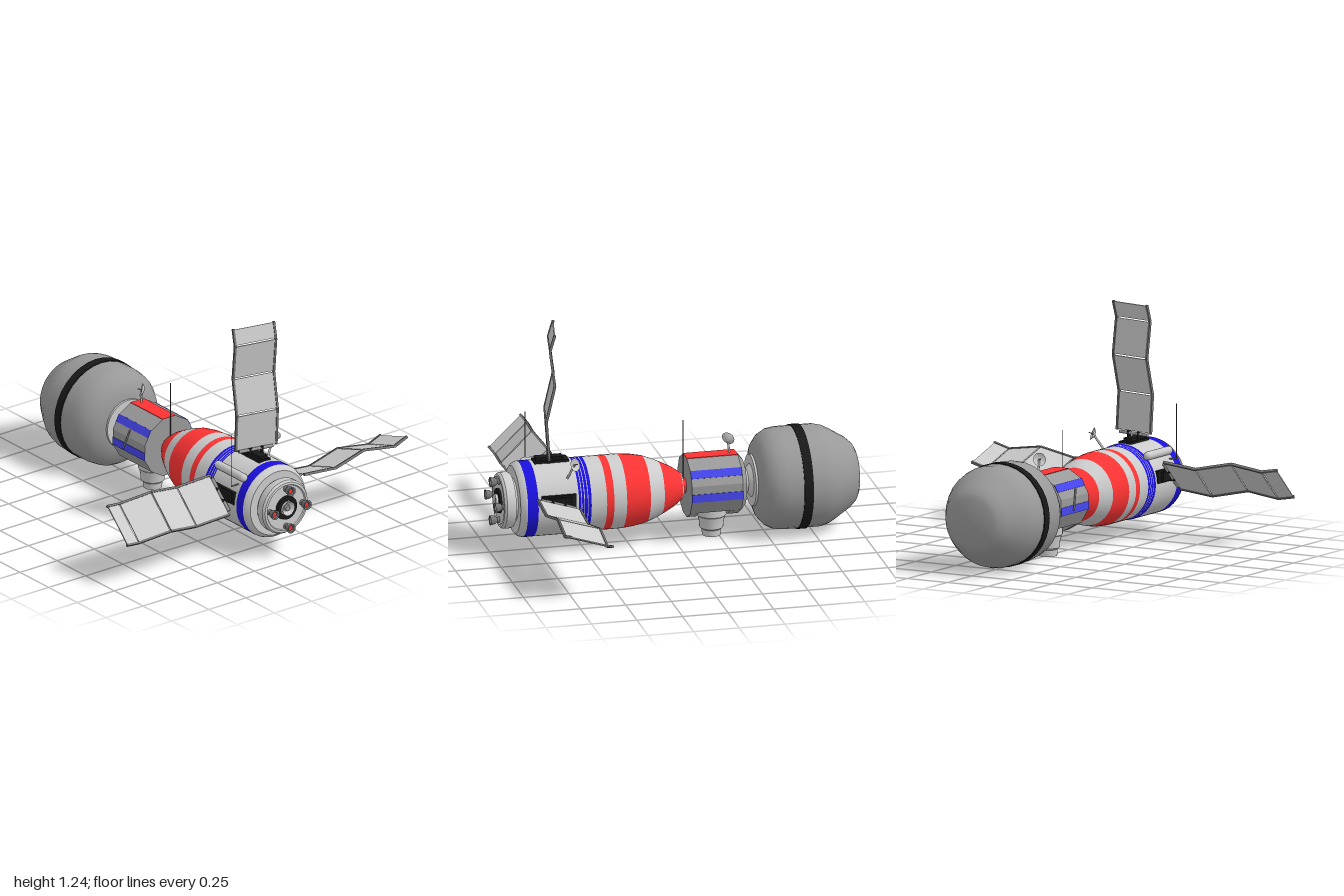
import * as THREE from 'three';
import { toCreasedNormals } from 'three/addons/utils/BufferGeometryUtils.js';

const AXIS = 0.287; // height of the long axis
const GREY = 0xcccccc, DARK = 0x999999, RED = 0xff3333, BLUE = 0x1a10dd, SKY = 0x4646f0, BLACK = 0x181818;
const V = (x, y, z) => new THREE.Vector3(x, y, z);

const materials = {};
const mat = (color) => (materials[color] ??= new THREE.MeshStandardMaterial({ color, side: THREE.DoubleSide }));

function add(parent, name, geo, color = GREY, pos = [0, 0, 0]) {
  const mesh = new THREE.Mesh(geo, mat(color));
  mesh.name = name;
  mesh.position.set(...pos);
  parent.add(mesh);
  return mesh;
}

// Solid of revolution; profile rows are [position along axis, radius]
function lathe(profile, segments = 32, crease = 0.6, phi = 0) {
  const pts = profile.map(([a, r]) => new THREE.Vector2(r, a));
  return toCreasedNormals(new THREE.LatheGeometry(pts, segments, phi), crease);
}
const latheX = (...args) => lathe(...args).rotateZ(-Math.PI / 2);

function rod(parent, name, a, b, r, color = GREY) {
  const mesh = add(parent, name, new THREE.CylinderGeometry(r, r, a.distanceTo(b), 10), color);
  mesh.position.copy(a).lerp(b, 0.5);
  mesh.quaternion.setFromUnitVectors(V(0, 1, 0), b.clone().sub(a).normalize());
  return mesh;
}

function dish(parent, name, base, centre, axis) {
  rod(parent, name + 'Mast', base, centre, 0.006);
  const g = new THREE.Group();
  g.name = name;
  add(g, 'dishBowl', lathe([[-0.012, 0], [-0.008, 0.018], [0.006, 0.036]], 20), GREY);
  add(g, 'dishFeed', new THREE.CylinderGeometry(0.003, 0.003, 0.035, 6), DARK, [0, 0.008, 0]);
  g.position.copy(centre);
  g.quaternion.setFromUnitVectors(V(0, 1, 0), axis.normalize());
  parent.add(g);
}

// Zigzag solar wing: four hinged plates with edge rails
function solarWing(name, root, out, across, offsets) {
  const wing = new THREE.Group();
  wing.name = name;
  across.normalize();
  const normal = across.clone().cross(out);
  const reach = [0, 0.21, 0.41, 0.61, 0.7];
  const pts = reach.map((d, i) => root.clone().addScaledVector(out, d).addScaledVector(normal, offsets[i]));
  for (let i = 0; i < 4; i++) {
    const dir = pts[i + 1].clone().sub(pts[i]);
    const len = dir.length();
    dir.normalize();
    const plate = new THREE.Group();
    plate.name = 'wingPlate';
    add(plate, 'solarPlate', new THREE.BoxGeometry(0.235, len - 0.008, 0.006));
    for (const s of [-1, 1]) {
      add(plate, 'edgeRail', new THREE.BoxGeometry(0.012, len, 0.014), 0x777777, [s * 0.12, 0, 0]);
    }
    plate.quaternion.setFromRotationMatrix(new THREE.Matrix4().makeBasis(across, dir, across.clone().cross(dir)));
    plate.position.copy(pts[i]).lerp(pts[i + 1], 0.5);
    wing.add(plate);
  }
  // root hinge and arms
  const at = (s, d) => root.clone().addScaledVector(across, s).addScaledVector(out, d);
  rod(wing, 'rootHinge', at(-0.1, -0.008), at(0.1, -0.008), 0.009, DARK);
  for (const s of [-0.035, 0.035]) rod(wing, 'rootArm', at(s, -0.05), at(s, 0.005), 0.01, BLACK);
  return wing;
}

export function createModel() {
  const model = new THREE.Group();
  model.name = 'spacecraft';
  const hull = new THREE.Group(); // parts laid out around the long axis
  hull.name = 'hull';
  hull.position.y = AXIS;
  model.add(hull);

  // Rounded compartment with a dark belt
  add(hull, 'orbitalCompartment', latheX([[-1, 0], [-1, 0.13], [-0.985, 0.16], [-0.95, 0.193], [-0.87, 0.243],
    [-0.83, 0.265], [-0.785, 0.276], [-0.58, 0.276], [-0.53, 0.268], [-0.49, 0.245], [-0.46, 0.208],
    [-0.44, 0.15], [-0.438, 0]], 32, 0.8), DARK);
  add(hull, 'belt', latheX([[-0.71, 0.27], [-0.71, 0.281], [-0.66, 0.281], [-0.66, 0.27]]), BLACK);
  add(hull, 'dockingCollar', latheX([[-0.445, 0.14], [-0.428, 0.14], [-0.428, 0.09], [-0.405, 0.065], [-0.37, 0.06]]));

  // Twelve-sided module, notched underneath for the port
  const R = 0.17, apothem = R * Math.cos(Math.PI / 12);
  const corners = Array.from({ length: 12 }, (_, i) => {
    const a = Math.PI / 12 + i * Math.PI / 6;
    return new THREE.Vector2(R * Math.sin(a), R * Math.cos(a));
  });
  const prism = (x0, x1, pts) => new THREE.ExtrudeGeometry(new THREE.Shape(pts),
    { depth: x1 - x0, bevelEnabled: false }).rotateY(Math.PI / 2).translate(x0, 0, 0);
  add(hull, 'moduleRearEnd', prism(-0.35, -0.29, corners), DARK);
  add(hull, 'moduleMiddle', prism(-0.29, -0.12, corners.filter((p) => p.y > -0.14)), DARK);
  add(hull, 'moduleFrontEnd', prism(-0.12, -0.07, corners), DARK);
  add(hull, 'moduleChamfer', latheX([[-0.38, 0], [-0.38, 0.135], [-0.35, R]], 12, 0.3, Math.PI / 12), DARK);

  // Painted facets: angle from the top, sideways shift, width
  const stripe = (name, angle, shift, width, color) => {
    const g = new THREE.BoxGeometry(0.28, 0.006, width).translate(-0.21, apothem, shift).rotateX(angle);
    add(hull, name, g, color);
  };
  stripe('redFacet', 0, 0, 0.088, RED);
  for (const s of [-1, 1]) {
    stripe('upperBlueStripe', s * Math.PI / 3, -s * 0.022, 0.044, SKY);
    stripe('lowerBlueStripe', s * Math.PI / 2, s * 0.022, 0.044, SKY);
  }
  rod(hull, 'moduleHandle', V(-0.2, 0.09, 0.165), V(-0.24, -0.025, 0.178), 0.005, DARK);
  add(hull, 'moduleNeck', latheX([[-0.08, 0.04], [-0.04, 0.04]]), RED);

  // Docking port under the module
  add(model, 'lowerPort', lathe([[0.02, 0], [0.012, 0.036], [0, 0.038], [0, 0.05], [0.035, 0.053], [0.045, 0.064],
    [0.075, 0.066], [0.11, 0.074], [0.115, 0.08], [0.18, 0.08], [0.18, 0]], 24), GREY, [-0.215, 0, 0]);

  // Striped main body, cut into colour bands from one profile
  const profile = [[-0.05, 0.07], [0, 0.106], [0.05, 0.133], [0.1, 0.157], [0.16, 0.18], [0.23, 0.194], [0.3, 0.2],
    [0.55, 0.2], [0.56, 0.205], [0.84, 0.205], [0.86, 0.198], [0.875, 0.182]];
  const radius = (x) => {
    const i = Math.min(profile.length - 2, Math.max(0, profile.findIndex((p) => p[0] >= x) - 1));
    const [[x0, r0], [x1, r1]] = [profile[i], profile[i + 1]];
    return r0 + (r1 - r0) * (x - x0) / (x1 - x0);
  };
  const bands = [[-0.05, GREY], [-0.042, RED], [0.075, GREY], [0.16, RED], [0.295, GREY], [0.365, RED], [0.405, GREY],
    [0.49, BLUE], [0.507, GREY], [0.511, BLUE], [0.526, GREY], [0.53, BLUE], [0.542, GREY], [0.546, BLUE],
    [0.56, GREY], [0.782, BLUE], [0.84, GREY], [0.875]];
  for (let i = 0; i < bands.length - 1; i++) {
    const [x0, color] = bands[i], x1 = bands[i + 1][0];
    const inner = profile.filter(([x]) => x > x0 + 1e-4 && x < x1 - 1e-4);
    add(hull, 'bodyBand', latheX([[x0, radius(x0)], ...inner, [x1, radius(x1)]], 40), color);
  }
  add(hull, 'noseCap', latheX([[-0.05, 0], [-0.05, 0.07]]));
  add(hull, 'tailCap', latheX([[0.875, 0.182], [0.87, 0]], 40));

  // Engine block with four small nozzles and a central ring
  add(hull, 'engineBlock', latheX([[0.86, 0.12], [0.885, 0.12], [0.888, 0.145], [0.9, 0.152], [0.94, 0.152],
    [0.953, 0.143], [0.955, 0.13], [0.948, 0.125], [0.948, 0]], 32));
  add(hull, 'engineRing', latheX([[0.945, 0.068], [0.962, 0.066], [0.962, 0.042], [0.95, 0.04]]), BLACK);
  add(hull, 'engineBell', latheX([[0.945, 0.03], [0.975, 0.04], [0.972, 0.034], [0.955, 0.02], [0.955, 0]], 24));
  add(hull, 'engineCore', latheX([[0.95, 0.016], [0.968, 0.014], [0.968, 0]], 16), DARK);
  for (let i = 0; i < 4; i++) {
    const a = i * Math.PI / 2, pos = [0, 0.108 * Math.cos(a), 0.108 * Math.sin(a)];
    add(hull, 'nozzle', latheX([[0.94, 0.018], [0.962, 0.014], [0.972, 0.022], [1, 0.027], [0.998, 0.018], [0.98, 0.012]], 16),
      0x777777, pos);
    add(hull, 'nozzleCore', latheX([[0.975, 0.017], [0.99, 0.014], [0.992, 0]], 12), RED, pos);
  }

  // Black wing mounts on the top, front and back
  add(model, 'topMount', new THREE.BoxGeometry(0.19, 0.03, 0.075), BLACK, [0.67, 0.486, 0]);
  add(model, 'topMountBlock', new THREE.BoxGeometry(0.15, 0.018, 0.05), BLACK, [0.68, 0.508, 0]);
  for (const s of [-1, 1]) {
    add(model, 'sideMount', new THREE.BoxGeometry(0.19, 0.07, 0.03), BLACK, [0.67, 0.325, s * 0.194]);
    add(model, 'sideMountBlock', new THREE.BoxGeometry(0.14, 0.05, 0.02), BLACK, [0.675, 0.325, s * 0.216]);
  }

  // Solar wings
  model.add(
    solarWing('topWing', V(0.68, 0.54, -0.005), V(0, 1, 0), V(0.2, 0, -0.98), [0, 0.015, -0.03, -0.004, -0.03]),
    solarWing('frontWing', V(0.675, 0.325, 0.235), V(0, 0, 1), V(0.72, -0.69, 0), [0, 0.025, -0.03, 0, -0.02]),
    solarWing('backWing', V(0.68, 0.322, -0.24), V(0, 0, -1), V(0.95, 0.3, 0), [0, -0.017, 0.03, 0, 0.03]));

  // Tank along the upper front shoulder
  add(hull, 'shoulderTank', new THREE.CapsuleGeometry(0.023, 0.215, 6, 14).rotateZ(Math.PI / 2), GREY, [0.668, 0.153, 0.153]);

  // Antennas and dishes
  rod(model, 'moduleAntenna', V(-0.06, 0.3, 0), V(-0.06, 0.655, 0), 0.002, 0x555555);
  rod(model, 'bodyAntenna', V(0.755, 0.4, 0.215), V(0.755, 0.7, 0.215), 0.002, 0x555555);
  rod(model, 'bodyAntennaFoot', V(0.755, 0.4, 0.15), V(0.755, 0.4, 0.218), 0.004, DARK);
  dish(model, 'moduleDish', V(-0.315, 0.44, 0), V(-0.305, 0.53, 0), V(-0.6, 0.25, 0.75));
  dish(model, 'bodyDish', V(0.61, 0.43, -0.14), V(0.585, 0.525, -0.2), V(-0.55, 0.35, -0.75));
  return model;
}
